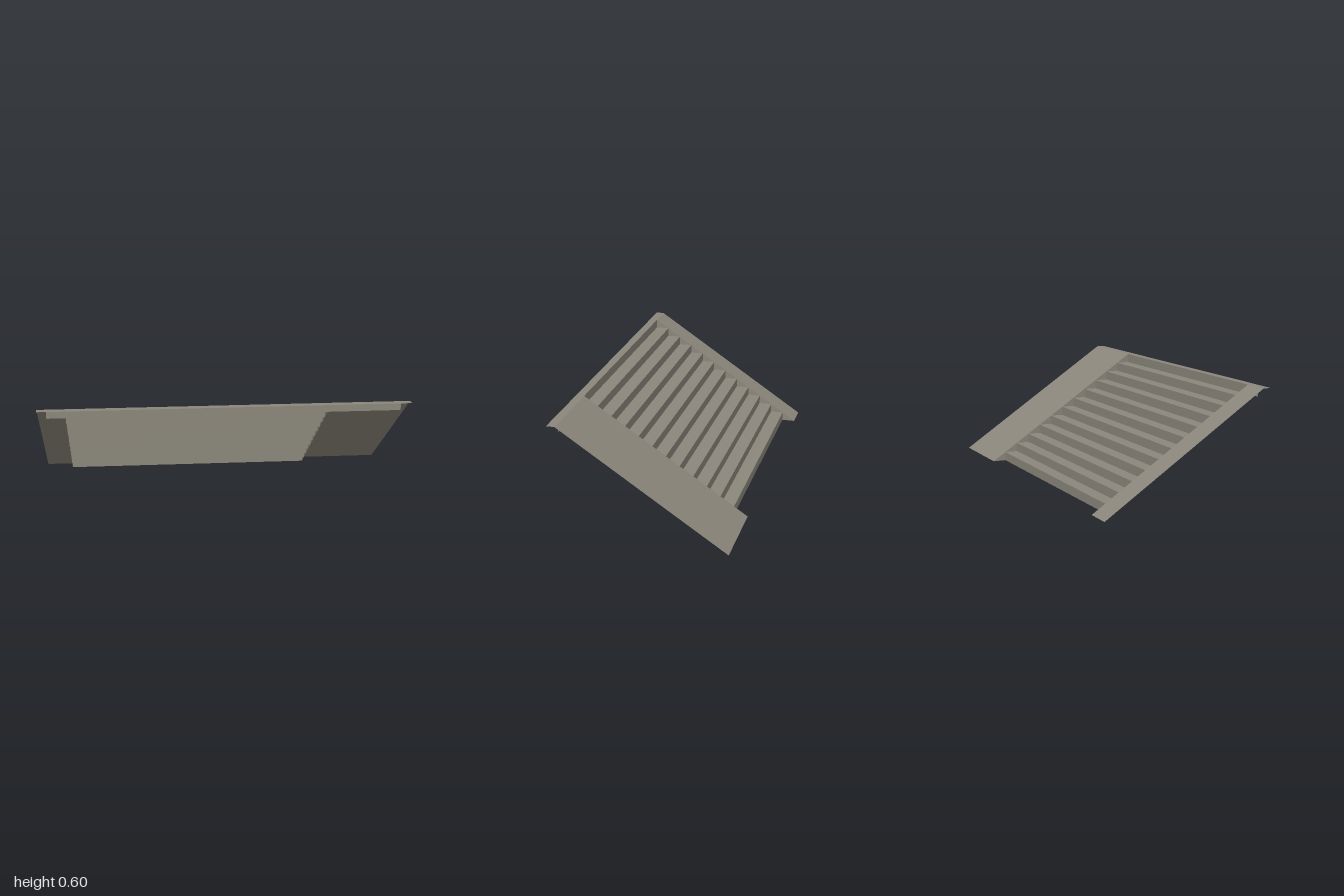
import * as THREE from 'three';

const STEPS = 12, RISE = 0.05, RUN = 0.075;
const Z0 = -0.475;                 // foot of the slope
const ZTOP = Z0 + STEPS * RUN;     // head of the slope
const YTOP = STEPS * RISE;
const LEFT = 0.55, RIGHT = -0.85;  // edges of the stair opening

// Sweep a [z, y] profile across x as flat, thin sheet faces
function sheet(profile, x0, x1) {
  const pos = [];
  for (let i = 0; i < profile.length - 1; i++) {
    const [za, ya] = profile[i], [zb, yb] = profile[i + 1];
    pos.push(x0, ya, za, x0, yb, zb, x1, yb, zb);
    pos.push(x0, ya, za, x1, yb, zb, x1, ya, za);
  }
  const g = new THREE.BufferGeometry();
  g.setAttribute('position', new THREE.Float32BufferAttribute(pos, 3));
  g.computeVertexNormals();
  return g;
}

export function createModel() {
  const group = new THREE.Group();
  const stone = new THREE.MeshStandardMaterial({ color: 0x8b877b, side: THREE.DoubleSide });
  stone.name = 'warm grey stone';
  const add = (name, geometry) => {
    const mesh = new THREE.Mesh(geometry, stone);
    mesh.name = name;
    group.add(mesh);
    return mesh;
  };

  // Treads and risers, open underneath
  const zigzag = [[Z0 + RUN, 0]];
  for (let i = 1; i <= STEPS; i++) {
    const z = Z0 + i * RUN;
    zigzag.push([z, i * RISE]);
    if (i < STEPS) zigzag.push([z + RUN, i * RISE]);
  }
  add('steps', sheet(zigzag, RIGHT, LEFT));

  // Sloping ramps on both sides of the steps
  const slope = [[Z0, 0], [ZTOP, YTOP]];
  add('leftRamp', sheet(slope, LEFT, 1));
  add('rightRamp', sheet(slope, -1, RIGHT));

  // Narrow landing and the lip hanging below it
  add('landing', sheet([[ZTOP, YTOP], [0.47, YTOP]], -1, 1));
  const lip = [[ZTOP, YTOP - RISE], [ZTOP, YTOP]];
  add('leftLip', sheet(lip, LEFT, 0.95));
  add('rightLip', sheet(lip, -0.95, RIGHT));

  // Slanted walls closing the ends of the steps
  const wall = new THREE.Shape([
    [Z0, 0], [Z0 + RUN, 0], [ZTOP, YTOP - RISE], [ZTOP, YTOP],
  ].map(([z, y]) => new THREE.Vector2(z, y)));
  for (const [name, x] of [['leftSideWall', LEFT], ['rightSideWall', RIGHT]]) {
    add(name, new THREE.ShapeGeometry(wall).rotateY(-Math.PI / 2)).position.x = x;
  }

  return group;
}
